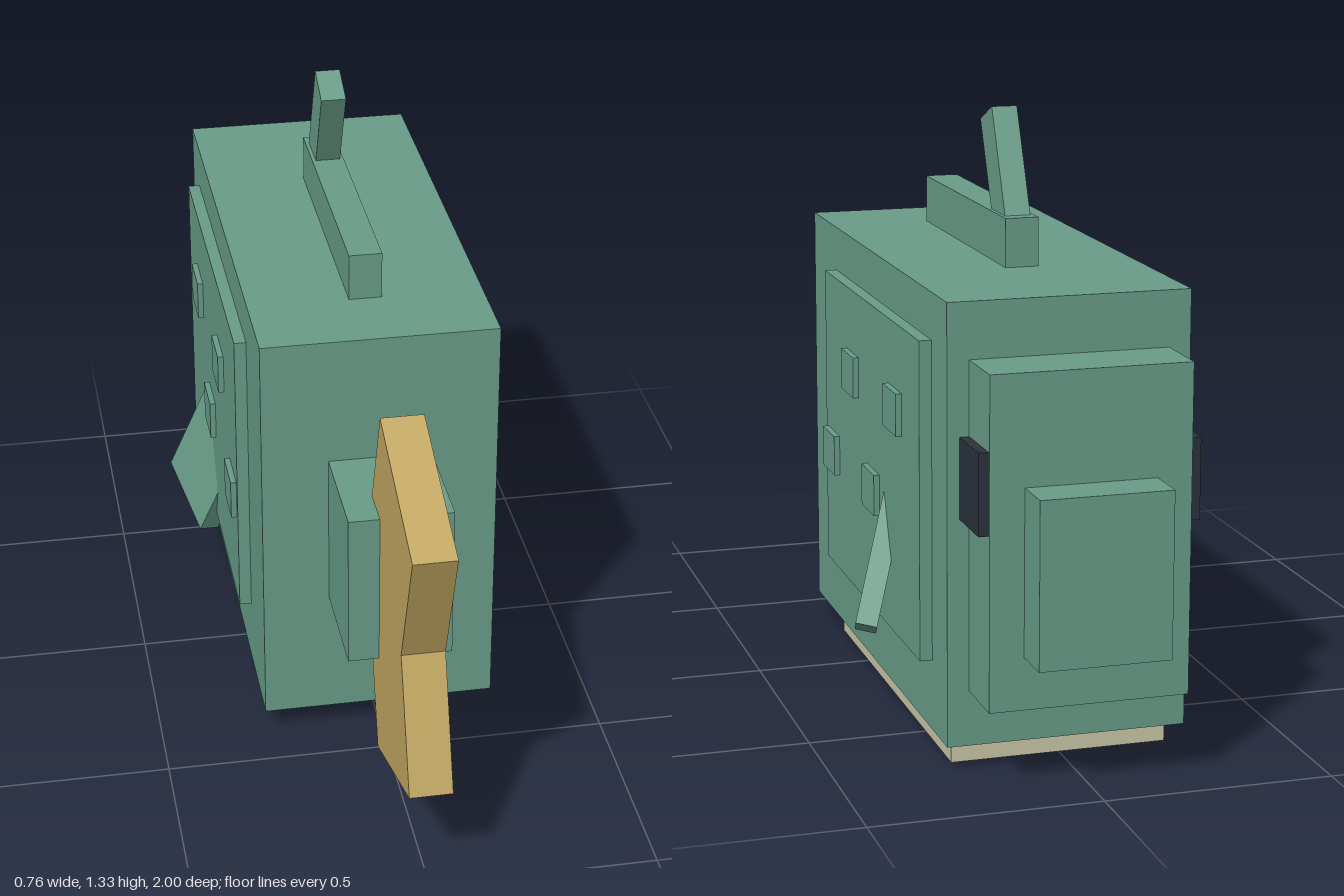
import * as THREE from 'three';

const paint = (name, color) => {
  const m = new THREE.MeshStandardMaterial({ color });
  m.name = name;
  return m;
};

export function createModel() {
  const model = new THREE.Group();
  model.name = 'blockFish';
  const teal = paint('teal', 0x699d89);
  const tan = paint('tan', 0xc4a863);
  const cream = paint('cream', 0xcbc7a9);
  const dark = paint('darkSlate', 0x2c313b);

  const add = (name, geometry, material) => {
    const mesh = new THREE.Mesh(geometry, material);
    mesh.name = name;
    model.add(mesh);
    return mesh;
  };
  // Box given by its lower and upper limits on each axis
  const block = (name, material, [x0, x1], [y0, y1], [z0, z1]) =>
    add(name, new THREE.BoxGeometry(x1 - x0, y1 - y0, z1 - z0), material)
      .position.set((x0 + x1) / 2, (y0 + y1) / 2, (z0 + z1) / 2);
  // Outline of [z, y] points, extruded across x
  const slab = (name, material, points, width) => {
    const shape = new THREE.Shape(points.map(([z, y]) => new THREE.Vector2(-z, y)));
    const g = new THREE.ExtrudeGeometry(shape, { depth: width, bevelEnabled: false });
    g.translate(0, 0, -width / 2).rotateY(Math.PI / 2);
    add(name, g, material);
  };

  // Body, belly, head and snout
  block('body', teal, [-0.263, 0.263], [0.055, 1.003], [-0.755, 0.395]);
  block('belly', cream, [-0.239, 0.239], [0, 0.055], [-0.7, 0.24]);
  block('head', teal, [-0.216, 0.216], [0.175, 0.882], [-0.9, -0.75]);
  block('snout', teal, [-0.142, 0.142], [0.288, 0.645], [-1, -0.89]);

  // Tail root and forked tail fin
  block('tailRoot', teal, [-0.115, 0.115], [0.352, 0.708], [0.39, 0.648]);
  slab('tailFin', tan, [
    [1, 0.82], [0.64, 0.951], [0.549, 0.7], [0.549, 0.36],
    [0.64, 0.109], [1, 0.24], [0.895, 0.53],
  ], 0.094);

  // Back ridge and leaning spine
  block('backRidge', teal, [-0.037, 0.037], [1, 1.11], [-0.425, 0.207]);
  slab('spine', teal, [
    [-0.207, 1.297], [-0.293, 1.334], [-0.42, 1.05], [-0.334, 1.012],
  ], 0.057);

  // Lower corners of the scales as [z, y]
  const scales = [[-0.13, 0.666], [-0.5, 0.666], [0.055, 0.44], [-0.31, 0.44]];
  for (const s of [1, -1]) {
    const side = s > 0 ? 'left' : 'right';
    const span = (a, b) => (s > 0 ? [a, b] : [-b, -a]);
    block(side + 'Flank', teal, span(0.25, 0.29), [0.21, 0.902], [-0.64, 0.18]);
    block(side + 'Eye', dark, span(0.2, 0.237), [0.548, 0.722], [-0.893, -0.757]);
    scales.forEach(([z, y], i) =>
      block(side + 'Scale' + (i + 1), teal, span(0.28, 0.303), [y, y + 0.093], [z, z + 0.109]));

    // Side fin: a slanted plate whose upper end sinks into the flank
    const corner = new THREE.Vector3(s * 0.38, 0.24, -0.435);
    const across = new THREE.Vector3(s * -0.05, -0.08, 0.195);
    const inward = new THREE.Vector3(s * -0.045, -0.01, -0.015);
    const up = inward.clone().cross(across).normalize();
    const a = inward.clone().normalize();
    const b = up.clone().cross(a);
    const length = 0.31;
    const fin = add(side + 'Fin', new THREE.BoxGeometry(0.048, 0.217, length), teal);
    fin.quaternion.setFromRotationMatrix(new THREE.Matrix4().makeBasis(a, b, up));
    fin.position.copy(corner).addScaledVector(across, 0.5).addScaledVector(inward, 0.5)
      .addScaledVector(up, (s * length) / 2);
  }
  return model;
}
